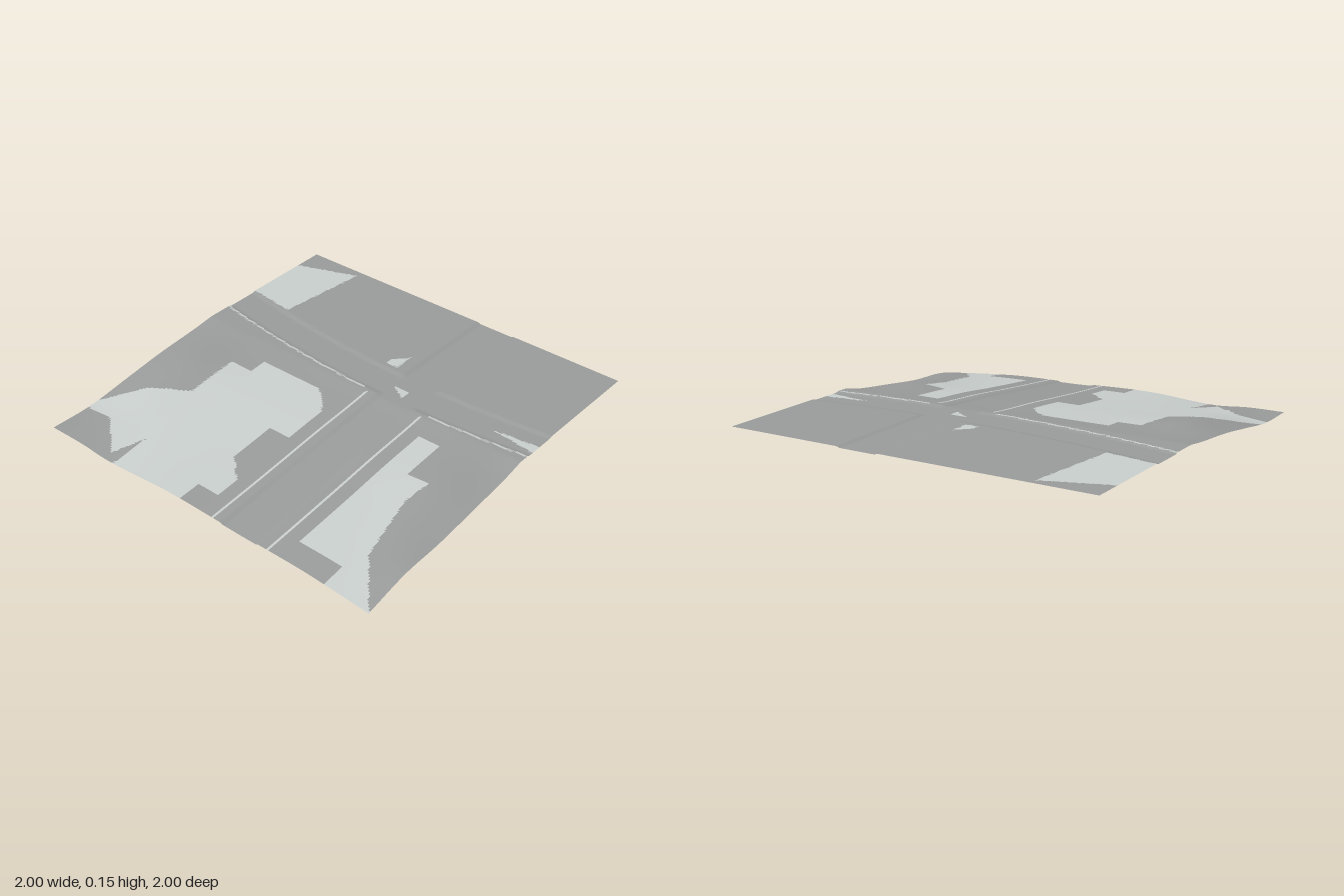
import * as THREE from 'three';

// Ground heights on the front slope: one row per z, one column per x
const FLAT = 0.146;
const XS = [-1, -0.8, -0.6, -0.2, 0.25, 0.6, 0.8, 1];
const ZS = [-0.13, 0, 0.25, 0.5, 0.75, 1];
const HEIGHTS = [
  XS.map(() => FLAT),
  [0.13, 0.138, 0.135, 0.132, 0.132, 0.132, 0.135, 0.12],
  [0.108, 0.132, 0.12, 0.112, 0.112, 0.112, 0.122, 0.09],
  [0.075, 0.1, 0.09, 0.086, 0.086, 0.082, 0.09, 0.062],
  [0.042, 0.06, 0.058, 0.064, 0.06, 0.056, 0.054, 0.05],
  [0.042, 0.04, 0.026, 0.047, 0.036, 0.031, 0.018, 0],
];

// Smooth curve through unevenly spaced samples
function curveAt(ts, vs, t) {
  let i = 0;
  while (i < ts.length - 2 && t > ts[i + 1]) i++;
  const slope = (k) => {
    const a = Math.max(k - 1, 0), b = Math.min(k + 1, ts.length - 1);
    return (vs[b] - vs[a]) / (ts[b] - ts[a]);
  };
  const h = ts[i + 1] - ts[i];
  const u = (t - ts[i]) / h, u2 = u * u, u3 = u2 * u;
  return (2 * u3 - 3 * u2 + 1) * vs[i] + (u3 - 2 * u2 + u) * h * slope(i)
    + (3 * u2 - 2 * u3) * vs[i + 1] + (u3 - u2) * h * slope(i + 1);
}

// Straight road along z and a gently curved road along x, both slightly sunken
const ROAD_X = 0.25;
const crossRoadZ = (x) => -0.245 - 0.083 * (x - ROAD_X) ** 2;

function heightAt(x, z) {
  const ground = z <= ZS[0] ? FLAT : curveAt(ZS, HEIGHTS.map((row) => curveAt(XS, row, x)), z);
  const bed = (d, half) => 1 - THREE.MathUtils.smoothstep(Math.abs(d), half, half + 0.016);
  const sink = Math.max(bed(x - ROAD_X, 0.1), bed(z - crossRoadZ(x), 0.085));
  return Math.max(0, ground - 0.006 * sink);
}

// Outlines of the pale ground, as x, z pairs
const PALE_OUTLINES = [
  // flat corner and junction scraps
  [-1, -0.84, -0.67, -0.96, -0.73, -0.44, -1, -0.48],
  [0, -0.42, 0.07, -0.5, 0.07, -0.38, 0, -0.38],
  [0.15, -0.25, 0.25, -0.25, 0.25, -0.19],
  [0.75, -0.26, 1, -0.29, 1, -0.23],
  // large field on the slope
  [-0.5, 0, -0.125, 0, 0, 0.125, 0, 0.375, -0.125, 0.375, -0.125, 0.625, 0, 0.75, 0, 0.875,
    -0.125, 0.875, -0.125, 1, -0.58, 1, -0.57, 0.78, -0.64, 0.95, -0.83, 0.78,
    -1, 0.77, -1, 0.7, -0.84, 0.52, -0.63, 0.4, -0.63, 0.1, -0.5, 0.1],
  // narrow field beside the road
  [0.5, 0, 0.625, 0, 0.625, 0.25, 0.75, 0.25, 0.73, 0.4, 0.8, 0.75,
    1, 1, 0.75, 1, 0.75, 0.875, 0.5, 0.875],
];

function inside(outline, x, z) {
  let hit = false;
  for (let i = 0, j = outline.length - 2; i < outline.length; j = i, i += 2) {
    const [x0, z0, x1, z1] = [outline[i], outline[i + 1], outline[j], outline[j + 1]];
    if ((z0 > z) !== (z1 > z) && x < x0 + (x1 - x0) * (z - z0) / (z1 - z0)) hit = !hit;
  }
  return hit;
}

// Thin pale kerbs on both sides of the straight road and in front of the curved one
function onKerb(x, z) {
  const side = Math.abs(x - ROAD_X), ahead = z - crossRoadZ(x);
  return (z > -0.12 && side > 0.165 && side < 0.176)
    || (side > 0.2 && ahead > 0.1 && ahead < 0.112);
}

const isPale = (x, z) => onKerb(x, z) || PALE_OUTLINES.some((outline) => inside(outline, x, z));

export function createModel() {
  const N = 160;
  const terrain = new THREE.PlaneGeometry(2, 2, N, N).rotateX(-Math.PI / 2);
  const position = terrain.getAttribute('position');
  for (let i = 0; i < position.count; i++) {
    position.setY(i, heightAt(position.getX(i), position.getZ(i)));
  }
  terrain.computeVertexNormals();

  // Sort every triangle into dark or pale ground
  const dark = [], pale = [];
  const corners = terrain.getIndex().array;
  for (let t = 0; t < corners.length; t += 3) {
    const ids = [...corners.slice(t, t + 3)];
    const x = ids.reduce((sum, id) => sum + position.getX(id), 0) / 3;
    const z = ids.reduce((sum, id) => sum + position.getZ(id), 0) / 3;
    (isPale(x, z) ? pale : dark).push(...ids);
  }

  // Both surfaces share the terrain's normals, so the shading stays continuous
  const group = new THREE.Group();
  group.name = 'terrainTile';
  const addSurface = (name, index, color) => {
    const geometry = terrain.clone();
    geometry.setIndex(index);
    const mesh = new THREE.Mesh(geometry,
      new THREE.MeshStandardMaterial({ color, side: THREE.DoubleSide }));
    mesh.name = name;
    group.add(mesh);
  };
  addSurface('groundAndRoads', dark, 0x999b9a);
  addSurface('paleFields', pale, 0xc8cecc);
  return group;
}
